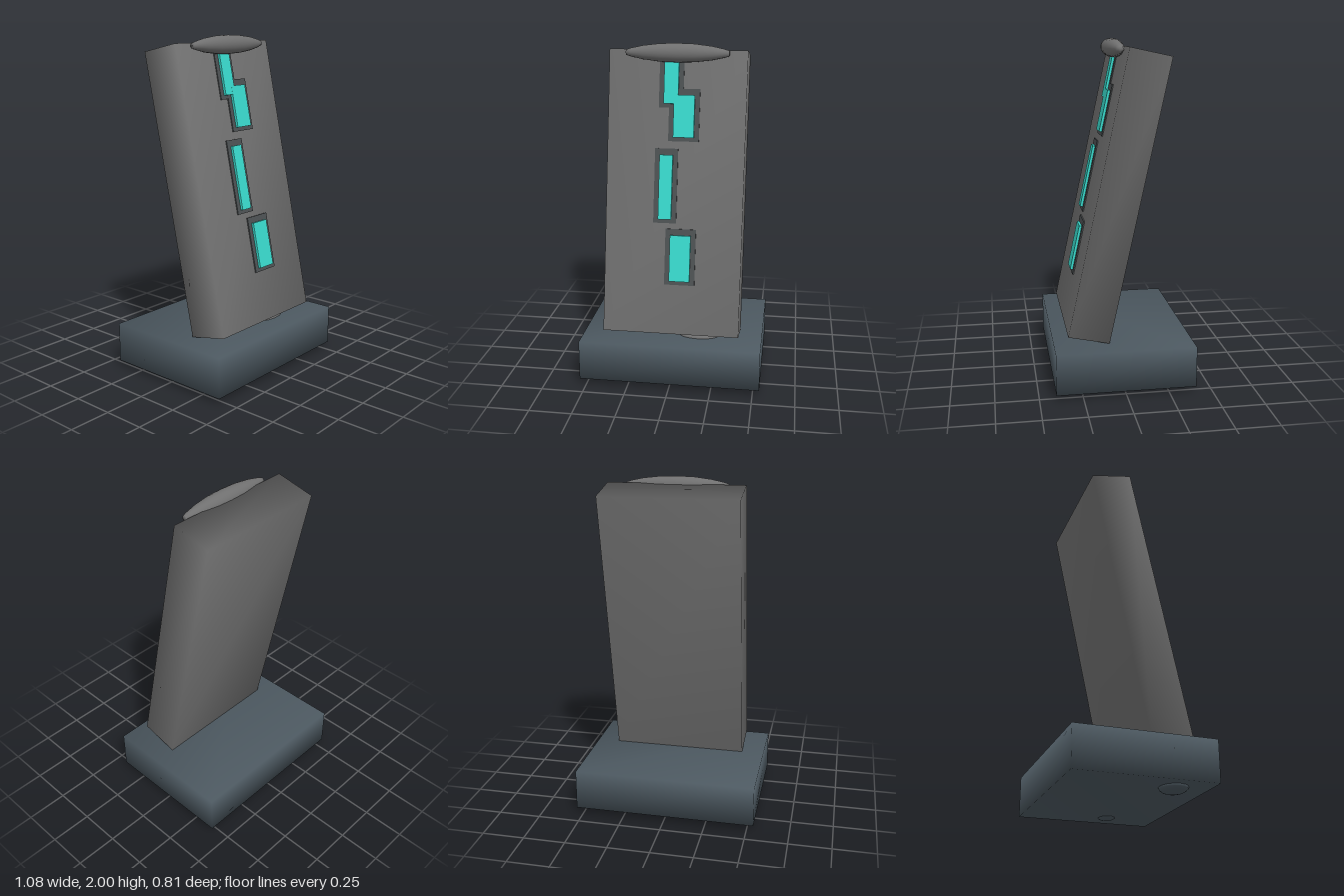
import * as THREE from 'three';
import { mergeVertices } from 'three/addons/utils/BufferGeometryUtils.js';

const mat = (name, color) => new THREE.MeshStandardMaterial({ name, color });

// Box whose corner normals are shared, for soft shading
function softBox(w, h, d) {
  const g = new THREE.BoxGeometry(w, h, d);
  g.deleteAttribute('normal');
  g.deleteAttribute('uv');
  const merged = mergeVertices(g);
  merged.computeVertexNormals();
  return merged;
}

export function createModel() {
  const baseMat = mat('slate', 0x4c5860);
  const stoneMat = mat('stone grey', 0x707070);
  const recessMat = mat('dark grey', 0x4c5052);
  const glowMat = mat('turquoise', 0x38d8cb);

  const model = new THREE.Group();
  const add = (parent, name, geo, material, x, y, z) => {
    const m = new THREE.Mesh(geo, material);
    m.name = name;
    m.position.set(x, y, z);
    parent.add(m);
    return m;
  };
  const dome = (name, material, x, y, z, rx, ry, rz) =>
    add(model, name, new THREE.SphereGeometry(1, 16, 10), material, x, y, z).scale.set(rx, ry, rz);

  // Plinth with the low pebbles above and below it
  add(model, 'base', softBox(1.08, 0.24, 0.81), baseMat, 0, 0.155, 0);
  dome('basePebble', stoneMat, 0.16, 0.275, 0.2, 0.12, 0.03, 0.06);
  dome('largeFoot', baseMat, -0.385, 0.035, 0.205, 0.09, 0.035, 0.08);
  dome('smallFoot', baseMat, 0.395, 0.035, 0.1, 0.06, 0.012, 0.05);

  // Leaning slab; its plates are placed in its own tilted frame
  const tilt = THREE.MathUtils.degToRad(12.1);
  const thick = 0.245;
  const slab = new THREE.Group();
  slab.name = 'leaningSlab';
  slab.position.set(0, 1.118, 0.027);
  slab.rotation.x = -tilt;
  model.add(slab);
  add(slab, 'slab', softBox(0.81, 1.672, thick), stoneMat, 0, 0, 0);

  // Plate given by its x range, world height range and how far it stands out
  const plate = (name, material, x0, x1, y0, y1, front, depth) => {
    const local = (y) => (y - slab.position.y - (thick / 2 + front) * Math.sin(tilt)) / Math.cos(tilt);
    const a = local(y0), b = local(y1);
    add(slab, name, new THREE.BoxGeometry(x1 - x0, b - a, depth), material,
      (x0 + x1) / 2, (a + b) / 2, thick / 2 + front - depth / 2);
  };
  const marks = [
    [-0.075, 0.01, 1.66, 1.92],
    [-0.015, 0.107, 1.47, 1.71],
    [-0.09, -0.012, 1.0, 1.37],
    [-0.015, 0.107, 0.643, 0.91],
  ];
  marks.forEach(([x0, x1, y0, y1], i) => {
    const top = i === 0 ? 1.93 : y1 + 0.033;
    plate('markBorder', recessMat, x0 - 0.029, x1 + 0.029, y0 - 0.025, top, 0.006 + i * 0.0005, 0.008);
    plate('glowingMark', glowMat, x0, x1, y0, y1, 0.021 + i * 0.0005, 0.016);
  });

  // Spindle-shaped bar across the top
  const half = [[0.3, 0], [0.3, 0.016], [0.27, 0.025], [0.2, 0.04], [0.1, 0.052]];
  const profile = [
    ...half.map(([x, r]) => new THREE.Vector2(r, -x)),
    new THREE.Vector2(0.055, 0),
    ...half.slice().reverse().map(([x, r]) => new THREE.Vector2(r, x)),
  ];
  add(model, 'topSpindle', new THREE.LatheGeometry(profile, 20), stoneMat, 0, 1.946, 0.006).rotation.z = Math.PI / 2;

  return model;
}
